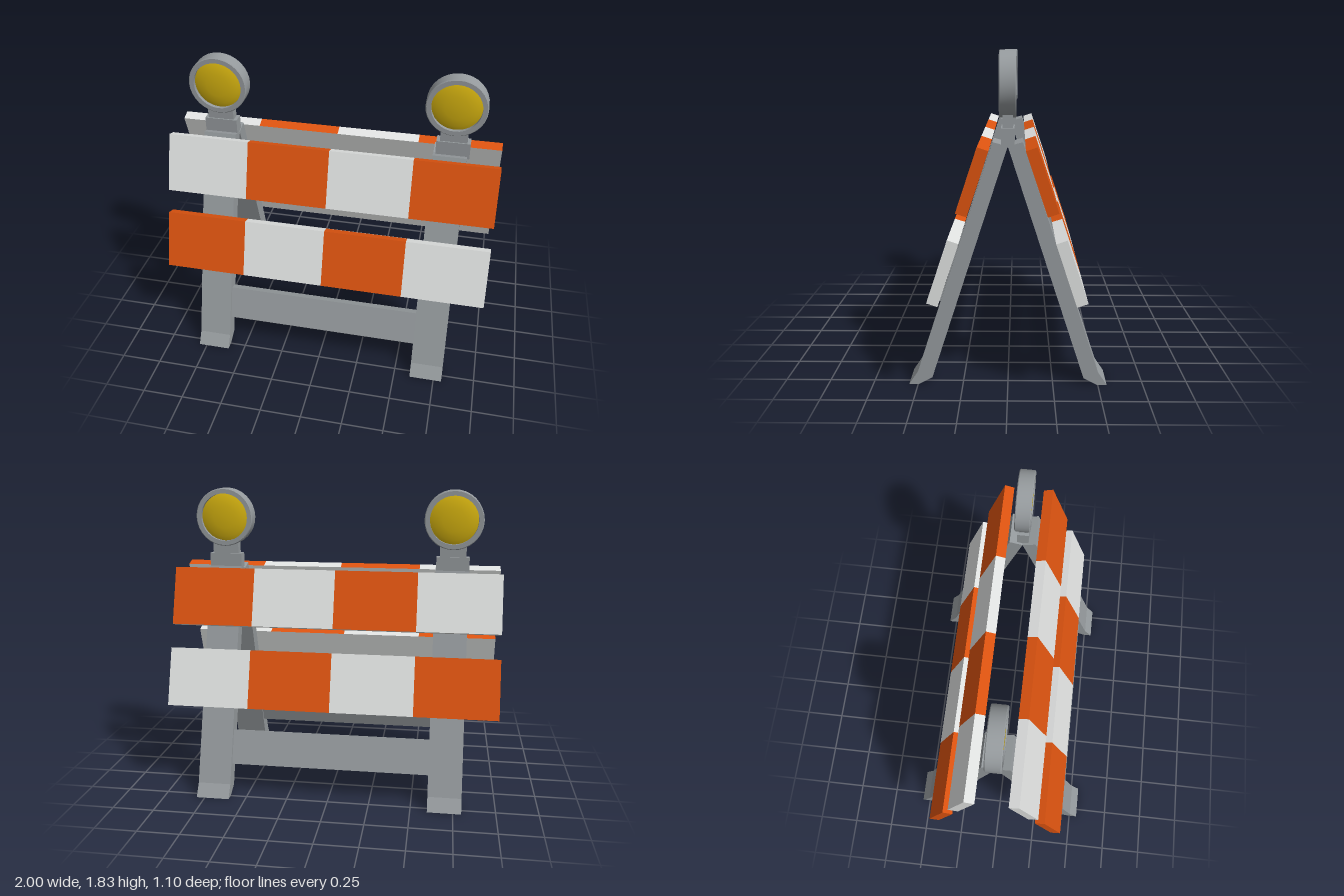
import * as THREE from 'three';
import { toCreasedNormals } from 'three/addons/utils/BufferGeometryUtils.js';

const material = (name, color, side = THREE.FrontSide) => {
  const m = new THREE.MeshStandardMaterial({ color, side });
  m.name = name;
  return m;
};

export function createModel() {
  const grey = material('steel grey', 0x969b9e);
  const white = material('board white', 0xe2e4e3);
  const orange = material('signal orange', 0xde5410);
  const yellow = material('lamp yellow', 0xd2b010);

  const model = new THREE.Group();
  model.name = 'trafficBarrier';

  const add = (parent, name, geometry, mat, x = 0, y = 0, z = 0) => {
    const mesh = new THREE.Mesh(geometry, mat);
    mesh.name = name;
    mesh.position.set(x, y, z);
    parent.add(mesh);
    return mesh;
  };

  // Extrudes a (z, y) outline along x, centred on x = 0
  const sideProfile = (points, width) => {
    const shape = new THREE.Shape(points.map(([z, y]) => new THREE.Vector2(z, y)));
    const geometry = new THREE.ExtrudeGeometry(shape, { depth: width, bevelEnabled: false });
    return geometry.rotateY(-Math.PI / 2).translate(width / 2, 0, 0);
  };

  const legGeometry = sideProfile(
    [[0, 1.335], [0.42, 0.04], [0.495, 0], [0.55, 0], [0.5, 0.075], [0.08, 1.357]], 0.2);
  const braceGeometry = sideProfile(
    [[0.326, 0.367], [0.39, 0.17], [0.442, 0.186], [0.378, 0.385]], 1.2);
  const panelGeometry = new THREE.BoxGeometry(0.5, 0.356, 0.062);

  // Striped board: outer face, top and ends are coloured, back and underside stay white
  const addBoard = (parent, name, y, z, orangeFirst, mirrored) => {
    const board = new THREE.Group();
    board.name = name;
    board.position.set(0, y, z);
    board.rotation.x = -0.322;
    for (let i = 0; i < 4; i++) {
      const order = mirrored ? 3 - i : i;
      const paint = (order % 2 === 0) === orangeFirst ? orange : white;
      add(board, 'boardPanel', panelGeometry,
        [paint, paint, paint, white, paint, white], -0.75 + i * 0.5);
    }
    parent.add(board);
  };

  // Two leaning frames, one turned to the back
  for (const back of [false, true]) {
    const frame = new THREE.Group();
    frame.name = back ? 'backFrame' : 'frontFrame';
    if (back) frame.rotation.y = Math.PI;
    for (const x of [-0.7, 0.7]) add(frame, 'leg', legGeometry, grey, x);
    add(frame, 'crossBrace', braceGeometry, grey);
    addBoard(frame, 'upperBoard', 1.177, 0.179, false, back);
    addBoard(frame, 'lowerBoard', 0.7, 0.335, true, back);
    model.add(frame);
  }

  // Warning lamps
  const lathe = (points, sides, crease) => toCreasedNormals(
    new THREE.LatheGeometry(points.map(([r, h]) => new THREE.Vector2(r, h)), sides)
      .rotateX(Math.PI / 2), crease);
  const ringGeometry = lathe([
    [0.146, -0.046], [0.173, -0.046], [0.178, -0.041], [0.178, 0.041],
    [0.173, 0.046], [0.146, 0.046], [0.146, -0.046]], 32, 0.6);
  const lensGeometry = lathe([
    [0, -0.044], [0.07, -0.041], [0.12, -0.033], [0.147, -0.022],
    [0.147, 0.022], [0.12, 0.033], [0.07, 0.041], [0, 0.044]], 20, 0.6);

  for (const x of [-0.703, 0.713]) {
    const lamp = new THREE.Group();
    lamp.name = x > 0 ? 'leftLamp' : 'rightLamp';
    lamp.position.x = x;
    add(lamp, 'lampBase', new THREE.BoxGeometry(0.2, 0.1, 0.072), grey, 0, 1.38);
    add(lamp, 'lampStem', new THREE.BoxGeometry(0.16, 0.075, 0.056), grey, 0, 1.465);
    add(lamp, 'lampRing', ringGeometry, grey, 0, 1.655);
    add(lamp, 'lampLens', lensGeometry, yellow, 0, 1.655);
    model.add(lamp);
  }

  return model;
}
